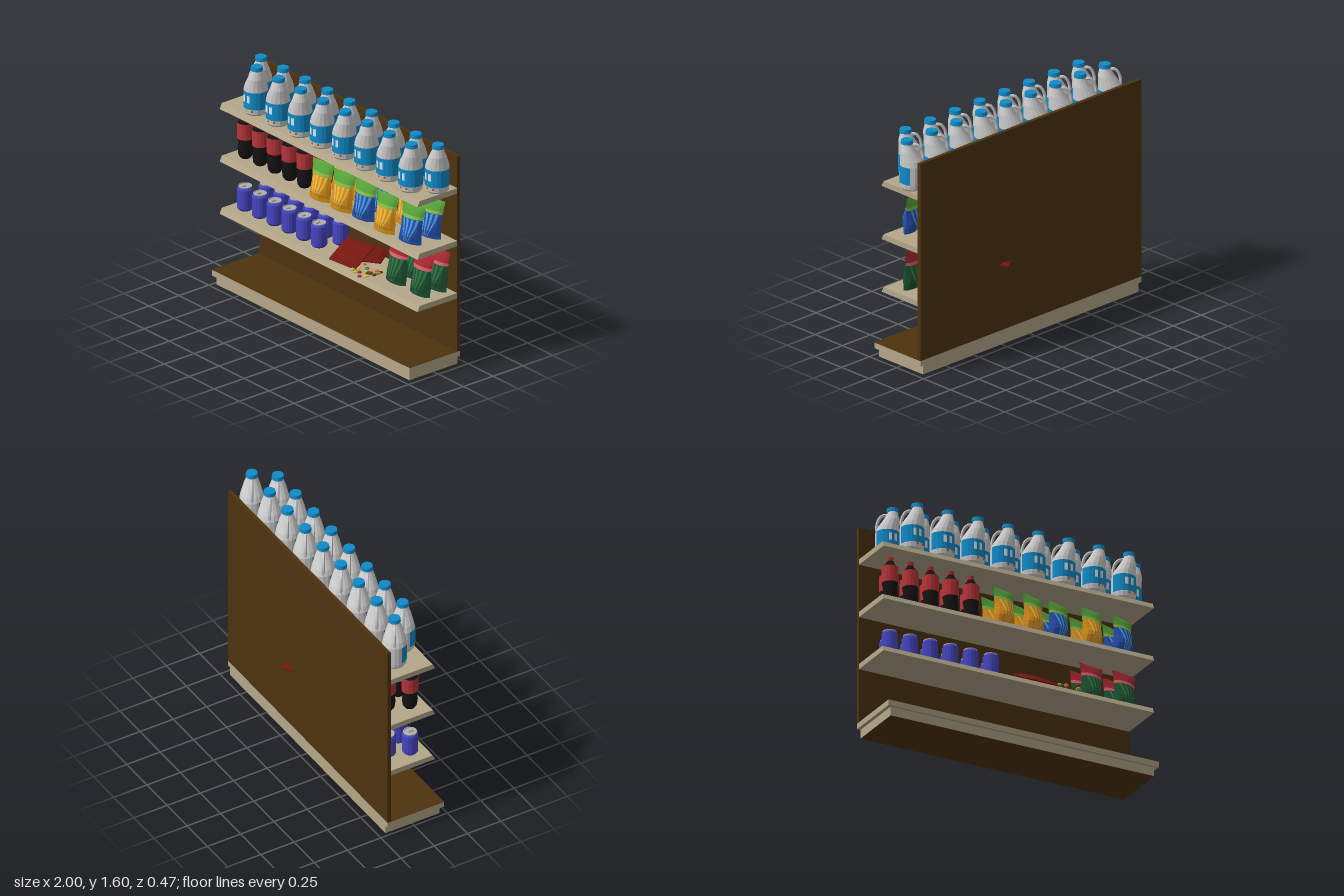
import * as THREE from 'three';
import { ParametricGeometry } from 'three/addons/geometries/ParametricGeometry.js';

const mats = {};
function mat(color, flat = true) {
  const key = color + '_' + flat;
  return mats[key] ??= new THREE.MeshStandardMaterial({ color, flatShading: flat, side: THREE.DoubleSide });
}
function add(parent, name, geo, color, x = 0, y = 0, z = 0, flat = true) {
  const m = new THREE.Mesh(geo, mat(color, flat));
  m.name = name;
  m.position.set(x, y, z);
  parent.add(m);
  return m;
}
function group(parent, name, x, y, z) {
  const g = new THREE.Group();
  g.name = name;
  g.position.set(x, y, z);
  parent.add(g);
  return g;
}
const box = (w, h, d) => new THREE.BoxGeometry(w, h, d);
const lathe = (pts, n) => new THREE.LatheGeometry(pts.map(p => new THREE.Vector2(...p)), n);
const smooth = THREE.MathUtils.smoothstep;

const TAN = 0xb5a88a, BROWN = 0x4d330e, BLUE = 0x0f8bc9, WHITE = 0xcccccc;
const SHELVES = [0.515, 0.884, 1.256];

// Milk jug: round body whose shoulder leans towards the neck, with a loop handle
function jug(parent, x, y, z) {
  const g = group(parent, 'milkJug', x, y, z);
  g.rotation.y = -0.55;
  const body = lathe([[0, 0], [0.068, 0], [0.077, 0.012], [0.08, 0.04], [0.08, 0.165], [0.073, 0.2],
    [0.055, 0.255], [0.037, 0.3], [0.032, 0.318]], 16);
  const p = body.attributes.position;
  for (let i = 0; i < p.count; i++) p.setX(i, p.getX(i) + 0.035 * smooth(p.getY(i), 0.16, 0.3));
  add(g, 'jugBody', body, WHITE);
  add(g, 'jugCap', new THREE.CylinderGeometry(0.038, 0.041, 0.026, 14), BLUE, 0.035, 0.326, 0);
  const path = new THREE.CatmullRomCurve3([[0.01, 0.296], [-0.03, 0.293], [-0.055, 0.265], [-0.068, 0.22], [-0.066, 0.175]]
    .map(([a, b]) => new THREE.Vector3(a, b, 0)));
  add(g, 'jugHandle', new THREE.TubeGeometry(path, 10, 0.011, 6), WHITE);
  // Label wraps the front and side, with plain pale panels and small coloured tabs
  const wrap = (name, r, h, yy, start, len, color) => add(g, name,
    new THREE.CylinderGeometry(r, r, h, Math.max(2, Math.round(len * 3)), 1, true, start + 0.55, len), color, 0, yy, 0);
  wrap('jugLabel', 0.0815, 0.12, 0.105, -1.5, 3.7, BLUE);
  for (const a of [-0.38, 0.1]) wrap('labelPanel', 0.083, 0.05, 0.115, a, 0.27, 0xdde8ee);
  [0xd94a2a, 0xe8c030, 0xd94a2a].forEach((c, i) => wrap('labelTab', 0.082, 0.014, 0.034, -0.1 + i * 0.28, 0.17, c));
}

// Soft drink bottle
function bottle(parent, x, y, z) {
  const g = group(parent, 'drinkBottle', x, y, z);
  add(g, 'bottleBody', lathe([[0, 0], [0.034, 0], [0.047, 0.02], [0.052, 0.06], [0.046, 0.1], [0.052, 0.135],
    [0.053, 0.24], [0.045, 0.258], [0.026, 0.282], [0.018, 0.3], [0.018, 0.31]], 14), 0x151212, 0, 0, 0, false);
  add(g, 'bottleLabel', new THREE.CylinderGeometry(0.055, 0.055, 0.112, 14, 1, true), 0xb8343a, 0, 0.194, 0);
  add(g, 'bottleCap', new THREE.CylinderGeometry(0.021, 0.021, 0.026, 12), 0xb02a30, 0, 0.306, 0);
}

// Drink can
function can(parent, x, y, z) {
  const g = group(parent, 'drinkCan', x, y, z);
  add(g, 'canBody', lathe([[0, 0], [0.042, 0], [0.053, 0.014], [0.053, 0.146], [0.044, 0.16]], 16), 0x4645c4);
  add(g, 'canRim', lathe([[0.044, 0.16], [0.045, 0.167], [0.041, 0.167], [0.039, 0.161], [0, 0.161]], 16), 0xb0b0b4);
  add(g, 'canTab', box(0.014, 0.004, 0.03), 0x909094, 0, 0.164, 0.008);
}

// Pillow bag: u runs across, v upwards; patches of the same skin carry the printed colours
function bag(parent, x, y, z, turn, o) {
  const { width, height, body, top, stripe, line } = o;
  const g = group(parent, 'snackBag', x, y, z);
  g.rotation.set(-0.1, turn, -0.03);
  const skin = (u, v, side, lift, out) => {
    const puff = Math.pow(Math.max(0, 1 - v), 0.75) * (0.55 + 0.65 * smooth(v, 0, 0.3));
    const depth = 0.062 * puff * Math.pow(Math.max(0, Math.sin(Math.PI * u)), 0.65);
    out.set((u - 0.5) * width * (1 - 0.13 * Math.sin(Math.PI * v)), v * height, side * (depth + lift));
  };
  const patch = (name, side, v0, v1, uOf, lift, color, nu = 8, nv = 7) => add(g, name,
    new ParametricGeometry((a, b, out) => {
      const v = v0 + (v1 - v0) * b;
      skin(uOf(a, v), v, side, lift, out);
    }, nu, nv), color);
  for (const side of [1, -1]) {
    patch('bagBody', side, 0, 0.72, a => a, 0, body);
    patch('bagTop', side, 0.72, 1, a => a, 0.0005, top);
    patch('bagBand', side, 0.65, 0.73, a => a, 0.002, line, 8, 2);
    for (let i = 0; i < 4; i++) {
      const s = 0.12 + i * 0.23;
      patch('bagStripe', side, 0.04, 0.64, (a, v) =>
        THREE.MathUtils.lerp(0.45, s + a * 0.11, 0.2 + 1.15 * v) + 0.1 * Math.sin(v * 4) - 0.06, 0.002, stripe, 2, 7);
    }
  }
}
const ORANGE = { width: 0.18, height: 0.265, body: 0xdd9118, top: 0x58a83a, stripe: 0xf0bd45, line: 0x86bd48 };
const AZURE = { ...ORANGE, body: 0x2450b0, stripe: 0x4aa0e0 };
const GREEN = { ...ORANGE, height: 0.278, body: 0x1d5030, top: 0xa82832, stripe: 0x2c7442, line: 0xd8606a };

// Flat sweet pouch: a flattened pillow with pinched edges
function pouch(parent, w, d, h, x, y, z) {
  const geo = new THREE.BoxGeometry(w, h, d, 6, 1, 6);
  const p = geo.attributes.position;
  const bulge = t => Math.sqrt(Math.max(0, 1 - t * t));
  for (let i = 0; i < p.count; i++) {
    p.setY(i, p.getY(i) * (0.15 + 0.85 * bulge(p.getX(i) / w * 2) * bulge(p.getZ(i) / d * 2)));
  }
  return add(parent, 'sweetPouch', geo, 0x74160f, x, y, z);
}

export function createModel() {
  const root = new THREE.Group();
  root.name = 'stockedShelfUnit';

  // Shelf unit
  add(root, 'backPanel', box(1.98, 1.38, 0.025), BROWN, -0.01, 0.79, -0.187);
  add(root, 'baseSlab', box(1.98, 0.039, 0.424), TAN, -0.01, 0.0815, 0.012);
  add(root, 'baseDeck', box(1.98, 0.002, 0.424), BROWN, -0.01, 0.102, 0.012);
  add(root, 'basePlinth', box(1.93, 0.061, 0.405), TAN, -0.01, 0.0315, 0.003);
  add(root, 'baseUnderside', box(1.93, 0.001, 0.405), BROWN, -0.01, 0.0005, 0.003);
  for (const y of SHELVES) {
    const s = new THREE.Shape([[0.175, 0], [-0.14, 0], [-0.158, -0.038], [0.175, -0.038]].map(q => new THREE.Vector2(...q)));
    const geo = new THREE.ExtrudeGeometry(s, { depth: 1.98, bevelEnabled: false });
    geo.rotateY(Math.PI / 2);
    add(root, 'shelf', geo, TAN, -1, y, 0);
  }

  // Top shelf: two staggered rows of jugs
  for (let i = 0; i < 9; i++) jug(root, -0.855 + i * 0.2215, SHELVES[2], -0.06);
  for (let i = 0; i < 8; i++) jug(root, -0.745 + i * 0.2215, SHELVES[2] + 0.005, 0.068);

  // Bottles and cans in two rows each
  for (const [z, dx] of [[0.036, 0], [-0.098, 0.055]]) {
    for (let i = 0; i < 5; i++) bottle(root, -0.887 + i * 0.148 + dx, SHELVES[1], z);
    for (let i = 0; i < 6; i++) can(root, -0.89 + i * 0.148 + dx, SHELVES[0], z);
  }

  // Snack bags, front and back rows
  [[-0.08, ORANGE, 0.2], [0.135, ORANGE, 0.25], [0.33, AZURE, 0.25], [0.565, ORANGE, 0.2], [0.8, AZURE, 0.3]]
    .forEach(([x, style, turn]) => {
      bag(root, x, SHELVES[1], style === ORANGE ? 0.09 : 0.07, turn, style);
      bag(root, x + 0.01, SHELVES[1], -0.085, turn, style);
    });
  for (const x of [0.6, 0.84]) for (const z of [0.02, -0.115]) bag(root, x, SHELVES[0], z, 0.12, GREEN);

  // Two sweet pouches, one propped on the other, which lies against the panel
  pouch(root, 0.25, 0.2, 0.04, 0.18, 0.58, 0.04).rotation.set(0.55, 0.06, 0);
  pouch(root, 0.18, 0.26, 0.05, 0.235, 0.556, -0.09).rotation.y = 0.6;

  // Spilled sweets
  let seed = 7;
  const rnd = () => (seed = (seed * 16807) % 2147483647) / 2147483647;
  const colors = [0xd8702a, 0xe0c030, 0x3f9a3a, 0xb02820, 0x5a3018];
  const sweets = group(root, 'spilledSweets', 0, 0.536, 0);
  for (let i = 0; i < 22; i++) {
    const s = add(sweets, 'sweet', new THREE.SphereGeometry(0.015, 8, 6), colors[i % 5],
      0.29 + 0.18 * rnd(), 0, 0.18 - 0.17 * rnd(), false);
    s.scale.y = 0.5;
  }
  return root;
}
